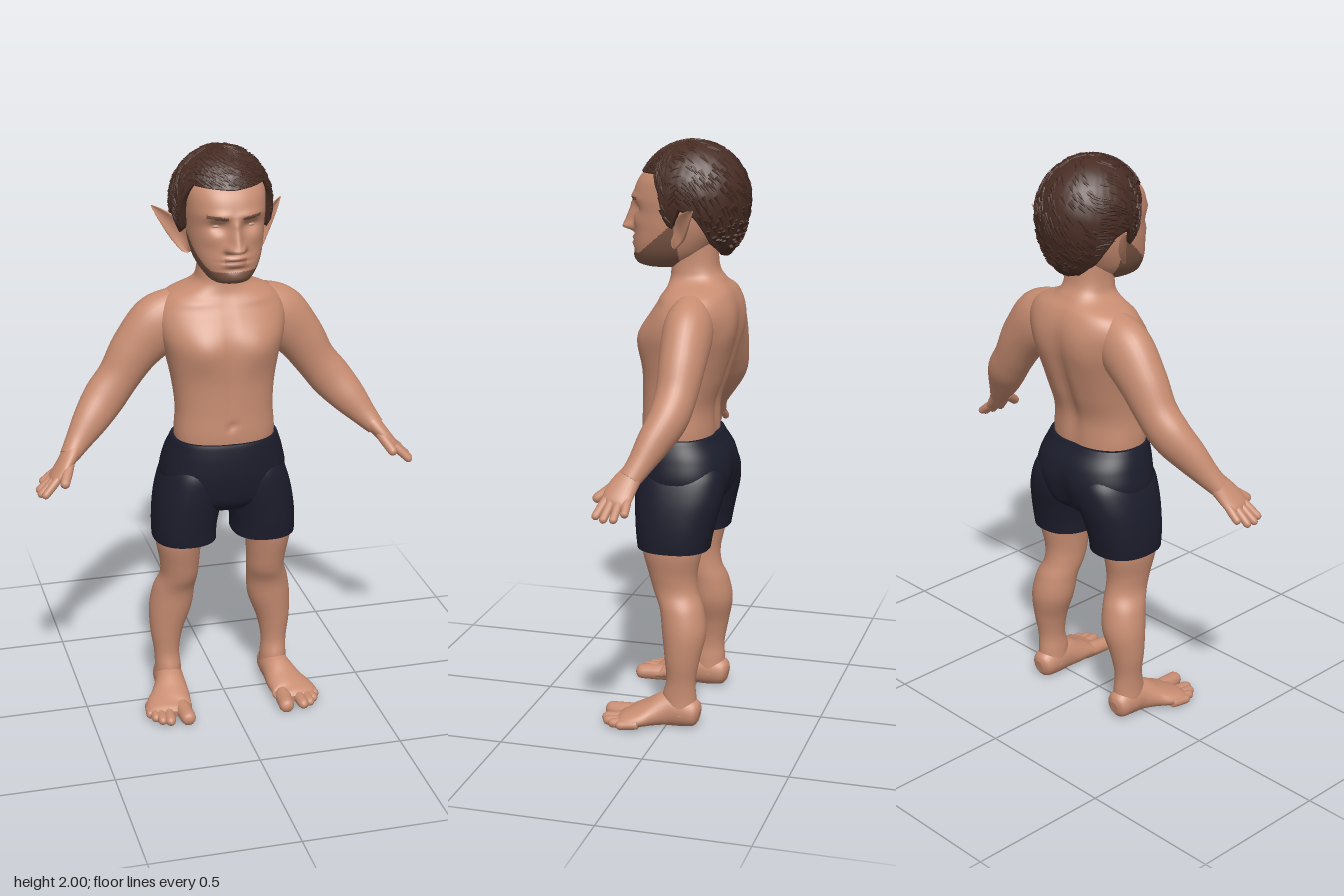
import * as THREE from 'three';
import { mergeGeometries } from 'three/addons/utils/BufferGeometryUtils.js';

const flat = (name, color) => Object.assign(new THREE.MeshStandardMaterial({ color }), { name });
const V = (x, y, z) => new THREE.Vector3(x, y, z);
const bump = (d, w) => Math.exp(-(d * d) / (w * w));

// Smooth Catmull-Rom sample through rows of numbers, t in 0..1
function sample(rows, t) {
  const f = t * (rows.length - 1), i = Math.min(Math.floor(f), rows.length - 2), u = f - i;
  const r = (k) => rows[Math.max(0, Math.min(rows.length - 1, k))];
  return rows[i].map((b, k) => {
    const a = r(i - 1)[k], c = r(i + 1)[k], d = r(i + 2)[k];
    return b + 0.5 * u * (c - a + u * (2 * a - 5 * b + 4 * c - d + u * (3 * (b - c) + d - a)));
  });
}

// Closed skin over rings point(t, angle), with flat end caps; pick(x,y,z) chooses a material slot
function loft(steps, sides, point, pick) {
  const pos = [], slots = [[], [], []];
  for (let i = 0; i <= steps; i++)
    for (let j = 0; j < sides; j++) pos.push(...point(i / steps, (j / sides) * Math.PI * 2).toArray());
  const at = (i, j) => i * sides + (j % sides);
  const add = (a, b, c) => {
    const m = (k) => (pos[a * 3 + k] + pos[b * 3 + k] + pos[c * 3 + k]) / 3;
    slots[pick ? pick(m(0), m(1), m(2)) : 0].push(a, b, c);
  };
  for (let i = 0; i < steps; i++)
    for (let j = 0; j < sides; j++) {
      add(at(i, j), at(i, j + 1), at(i + 1, j + 1));
      add(at(i, j), at(i + 1, j + 1), at(i + 1, j));
    }
  for (const end of [0, steps]) {
    const base = pos.length / 3, mid = [0, 0, 0];
    for (let j = 0; j < sides; j++)
      for (let k = 0; k < 3; k++) {
        const v = pos[at(end, j) * 3 + k];
        pos.push(v);
        mid[k] += v / sides;
      }
    pos.push(...mid);
    for (let j = 0; j < sides; j++) {
      const a = base + j, b = base + ((j + 1) % sides);
      if (end) add(a, b, base + sides); else add(b, a, base + sides);
    }
  }
  const g = new THREE.BufferGeometry();
  g.setAttribute('position', new THREE.Float32BufferAttribute(pos, 3));
  g.setIndex(slots.flat());
  if (pick) {
    let start = 0;
    slots.forEach((s, k) => { g.addGroup(start, s.length, k); start += s.length; });
  }
  g.computeVertexNormals();
  return g;
}

// Upright form; rows are [y, centre x, half width, front z, back z]
function stack(rows, steps, sides, power = 2, shape = (p) => p, pick) {
  const se = (v) => Math.sign(v) * Math.abs(v) ** (2 / power);
  return loft(steps, sides, (t, a) => {
    const [y, x, w, f, b] = sample(rows, t);
    return shape(V(x + w * se(Math.sin(a)), y, (f + b) / 2 + ((f - b) / 2) * se(Math.cos(a))));
  }, pick);
}

// Limb along a path; rows are [x, y, z, half size across ref, half size along ref]
function limb(rows, steps, sides, ref, wave = Math.cos) {
  return loft(steps, sides, (t, a) => {
    const [x, y, z, ru, rw] = sample(rows, t);
    const p = sample(rows, Math.max(0, t - 0.01)), q = sample(rows, Math.min(1, t + 0.01));
    const d = V(q[0] - p[0], q[1] - p[1], q[2] - p[2]).normalize();
    const u = d.clone().cross(ref).normalize(), w = u.clone().cross(d);
    return V(x, y, z).addScaledVector(u, ru * Math.sin(a)).addScaledVector(w, rw * wave(a));
  });
}

// Rounded digit from a to b
function digit(a, b, r, ref) {
  const p = (t, s) => [...a.map((v, k) => v + (b[k] - v) * t), r * s, r * s];
  return limb([p(0, 0.95), p(0.3, 1), p(0.6, 0.95), p(0.85, 0.9), p(0.96, 0.6), p(1, 0.1)], 14, 12, ref);
}

function mirrored(geo) {
  const g = geo.clone().scale(-1, 1, 1), ix = g.index.array;
  for (let i = 0; i < ix.length; i += 3) [ix[i], ix[i + 1]] = [ix[i + 1], ix[i]];
  g.computeVertexNormals();
  return g;
}

export function createModel() {
  const skin = flat('skin', 0xc88d72), hair = flat('dark brown hair', 0x482d24), cloth = flat('navy cloth', 0x1c1d2c);
  const stubble = flat('stubble', 0x7d5846), lip = flat('lips', 0xb0735f), eye = flat('eyes', 0xbd9c8a);
  const model = new THREE.Group(), Z = V(0, 0, 1), Y = V(0, 1, 0);
  const add = (name, geo, mat) => {
    const m = new THREE.Mesh(geo, mat);
    m.name = name;
    model.add(m);
  };
  const pair = (name, geo, mat) => {
    add('left' + name, geo, mat);
    add('right' + name, mirrored(geo), mat);
  };

  // Torso and neck, with chest, belly and spine relief
  add('torso', stack([
    [0.94, 0, 0.165, 0.12, -0.12], [1.02, 0, 0.172, 0.13, -0.122], [1.11, 0, 0.167, 0.128, -0.125],
    [1.2, 0, 0.175, 0.128, -0.155], [1.29, 0, 0.193, 0.13, -0.182], [1.37, 0, 0.215, 0.12, -0.198],
    [1.44, 0, 0.218, 0.085, -0.198], [1.495, 0, 0.185, 0.05, -0.18], [1.535, 0, 0.1, 0.038, -0.15],
    [1.58, 0, 0.079, 0.035, -0.125], [1.67, 0, 0.078, 0.035, -0.12],
  ], 90, 80, 2.3, (p) => {
    const x = Math.abs(p.x);
    if (p.z > 0) {
      p.z += 0.018 * bump(x - 0.095, 0.07) * bump(p.y - 1.335, 0.065);
      p.z -= 0.006 * bump(x, 0.015) * bump(p.y - 1.25, 0.2) + 0.01 * bump(x, 0.012) * bump(p.y - 1.07, 0.014);
      p.z += 0.006 * bump(x - 0.11, 0.08) * bump(p.y - 1.485, 0.015);
    } else if (p.z < -0.06) {
      p.z += 0.016 * bump(x, 0.03) * bump(p.y - 1.22, 0.2);
      p.z -= 0.008 * bump(x - 0.1, 0.05) * bump(p.y - 1.38, 0.08);
    }
    return p;
  }), skin);

  // Arms, palms, fingers and thumbs
  pair('Arm', limb([
    [0.13, 1.44, -0.07, 0.08, 0.07], [0.205, 1.39, -0.075, 0.102, 0.082], [0.285, 1.305, -0.078, 0.087, 0.076],
    [0.345, 1.215, -0.075, 0.073, 0.068], [0.4, 1.145, -0.062, 0.073, 0.064], [0.455, 1.08, -0.03, 0.062, 0.054],
    [0.505, 1.02, 0.0, 0.044, 0.042], [0.54, 0.98, 0.025, 0.032, 0.038],
  ], 50, 32, Z), skin);
  const hand = [limb([
    [0.515, 1.01, 0.008, 0.032, 0.034], [0.545, 0.975, 0.03, 0.027, 0.044], [0.572, 0.943, 0.046, 0.023, 0.05],
    [0.597, 0.917, 0.052, 0.018, 0.047], [0.61, 0.905, 0.055, 0.008, 0.035],
  ], 20, 24, Z)];
  for (const [z0, x1, y1, z1] of [[0.015, 0.64, 0.885, 0.012], [0.04, 0.657, 0.868, 0.045], [0.064, 0.656, 0.866, 0.08], [0.085, 0.645, 0.872, 0.11]])
    hand.push(digit([0.59, 0.925, z0], [x1, y1, z1], 0.0145, Z));
  hand.push(digit([0.545, 0.965, 0.06], [0.578, 0.912, 0.132], 0.018, Y));
  pair('Hand', mergeGeometries(hand), skin);

  // Legs
  pair('Leg', stack([
    [0.05, 0.195, 0.05, 0.01, -0.105], [0.11, 0.195, 0.046, 0.015, -0.102], [0.17, 0.198, 0.045, 0.002, -0.1],
    [0.25, 0.196, 0.058, 0.008, -0.115], [0.34, 0.181, 0.075, 0.02, -0.132], [0.42, 0.17, 0.073, 0.032, -0.12],
    [0.48, 0.157, 0.066, 0.058, -0.098], [0.54, 0.157, 0.069, 0.075, -0.094], [0.62, 0.16, 0.08, 0.094, -0.11],
    [0.7, 0.15, 0.09, 0.1, -0.12],
  ], 60, 40), skin);

  // Feet with a separate big toe
  const foot = [limb([
    [0.195, 0.045, -0.115, 0.018, 0.025], [0.195, 0.048, -0.1, 0.042, 0.046], [0.195, 0.058, -0.05, 0.05, 0.06],
    [0.198, 0.058, 0.0, 0.053, 0.06], [0.21, 0.042, 0.06, 0.068, 0.044], [0.226, 0.03, 0.11, 0.08, 0.031],
    [0.228, 0.023, 0.145, 0.076, 0.023], [0.228, 0.02, 0.165, 0.062, 0.012],
  ], 36, 32, Y), digit([0.186, 0.026, 0.1], [0.177, 0.022, 0.228], 0.029, Y)];
  for (const [x, z, r] of [[0.243, 0.222, 0.021], [0.269, 0.21, 0.019], [0.288, 0.186, 0.018], [0.302, 0.155, 0.017]])
    foot.push(digit([x - 0.012, 0.024, 0.08], [x, 0.018, z], r, Y));
  const footGeo = mergeGeometries(foot), fp = footGeo.attributes.position;
  for (let i = 0; i < fp.count; i++) fp.setY(i, Math.max(0, fp.getY(i)));
  footGeo.computeVertexNormals();
  pair('Foot', footGeo, skin);

  // Shorts: seat and two wide legs
  add('shortsSeat', stack([
    [0.75, 0, 0.12, 0.09, -0.11], [0.79, 0, 0.2, 0.125, -0.16], [0.87, 0, 0.218, 0.143, -0.186],
    [0.94, 0, 0.206, 0.145, -0.175], [0.99, 0, 0.19, 0.141, -0.145], [1.008, 0, 0.183, 0.137, -0.135],
  ], 40, 64, 2.3, (p) => {
    if (p.z < -0.05) p.z += 0.018 * bump(p.x, 0.03) * bump(p.y - 0.84, 0.08);
    return p;
  }), cloth);
  pair('ShortsLeg', stack([
    [0.632, 0.14, 0.11, 0.115, -0.133], [0.68, 0.14, 0.111, 0.12, -0.142], [0.74, 0.132, 0.115, 0.125, -0.156],
    [0.81, 0.118, 0.117, 0.13, -0.172], [0.88, 0.105, 0.108, 0.128, -0.172], [0.93, 0.095, 0.09, 0.11, -0.15],
  ], 36, 48, 2.3), cloth);

  // Head with nose, brow, sockets, cheeks and mouth; stubble, brows and lips as colour groups
  add('head', stack([
    [1.574, 0, 0.05, 0.125, 0.0], [1.585, 0, 0.07, 0.152, -0.03], [1.62, 0, 0.096, 0.163, -0.08],
    [1.66, 0, 0.113, 0.163, -0.115], [1.71, 0, 0.124, 0.158, -0.15], [1.76, 0, 0.129, 0.157, -0.17],
    [1.81, 0, 0.133, 0.163, -0.185], [1.87, 0, 0.133, 0.142, -0.185], [1.92, 0, 0.115, 0.09, -0.16],
    [1.965, 0, 0.05, 0.02, -0.08],
  ], 90, 144, 2.4, (p) => {
    if (p.z < 0.04) return p;
    const x = Math.abs(p.x), y = p.y, n = THREE.MathUtils.clamp((1.8 - y) / 0.1, 0, 1);
    const fade = THREE.MathUtils.smoothstep(y, 1.682, 1.698);
    p.z += (0.012 + 0.04 * n) * bump(x, 0.014 + 0.011 * n) * fade * (1 - THREE.MathUtils.smoothstep(y, 1.775, 1.82));
    p.z += 0.016 * bump(x - 0.022, 0.011) * bump(y - 1.703, 0.012);
    p.z -= 0.017 * bump(x - 0.053, 0.03) * bump(y - 1.772, 0.02);
    p.z += 0.008 * bump(x - 0.05, 0.045) * bump(y - 1.808, 0.014);
    p.z += 0.006 * bump(x - 0.075, 0.03) * bump(y - 1.73, 0.025);
    p.z += 0.01 * bump(x, 0.035) * (bump(y - 1.666, 0.009) + bump(y - 1.647, 0.009));
    p.z -= 0.006 * bump(x, 0.04) * (bump(y - 1.657, 0.004) + bump(y - 1.63, 0.01));
    p.z += 0.008 * bump(x, 0.035) * bump(y - 1.6, 0.018);
    return p;
  }, (x, y, z) => {
    x = Math.abs(x);
    if (z > 0.1 && x < 0.036 && Math.abs(y - 1.657) < 0.012) return 2;
    if (z > 0.08 && x > 0.026 && x < 0.09 && Math.abs(y - 1.8 - 0.1 * (x - 0.03)) < 0.006) return 1;
    return z > -0.01 && y < 1.622 + Math.max(0, 0.13 - z) * 0.85 ? 1 : 0;
  }), [skin, stubble, lip]);
  pair('Eye', new THREE.SphereGeometry(1, 20, 14).scale(0.022, 0.009, 0.014).translate(0.053, 1.771, 0.122), eye);

  // Pointed ears, dished on the front
  pair('Ear', limb([
    [0.118, 1.65, 0.0, 0.006, 0.008], [0.127, 1.668, -0.005, 0.022, 0.014], [0.142, 1.705, -0.025, 0.036, 0.018],
    [0.166, 1.738, -0.045, 0.034, 0.016], [0.196, 1.768, -0.07, 0.02, 0.01], [0.222, 1.792, -0.095, 0.002, 0.002],
  ], 30, 28, V(0.62, -0.1, 0.75).normalize(), (a) => {
    const c = Math.cos(a);
    return c > 0 ? c - 1.25 * c * c : c;
  }), skin);

  // Hair cap: hairline height by angle from the front, then small swept locks
  const line = [[0, 1.885], [0.9, 1.895], [1.13, 1.83], [1.22, 1.73], [1.36, 1.72], [1.52, 1.785], [1.8, 1.76], [2.15, 1.67], [2.6, 1.625], [3.15, 1.615]];
  const hairline = (a) => {
    const b = a > Math.PI ? 2 * Math.PI - a : a, k = Math.max(1, line.findIndex((r) => r[0] >= b));
    const [p, q] = [line[k - 1], line[k]];
    return p[1] + ((q[1] - p[1]) * (b - p[0])) / (q[0] - p[0]);
  };
  const scalp = (t, a, k = 1) => {
    const low = 0.205 - 0.045 * Math.cos(a), h = hairline(a) - 1.81;
    const e0 = Math.asin(THREE.MathUtils.clamp(h / (h > 0 ? 0.185 : low), -0.95, 0.95));
    const e = e0 + (Math.PI / 2 - e0) * t, c = Math.cos(e) * k;
    return V(0.17 * c * Math.sin(a), 1.81 + Math.sin(e) * (e > 0 ? 0.185 : low) * k, -0.04 + c * 0.19 * Math.cos(a));
  };
  add('hairCap', loft(60, 120, (t, a) => {
    const ridge = 0.007 * Math.sin(24 * a + 16 * t) * Math.sin(11 * a - 31 * t) * (1 - t);
    return t === 0 ? scalp(0, a, 0.86) : scalp(Math.min(t - 1 / 60, 0.982), a, 1 + ridge);
  }), hair);
  let seed = 7;
  const rand = () => (seed = (seed * 16807) % 2147483647) / 2147483647;
  const locks = [], centre = V(0, 1.81, -0.04);
  for (let i = 0; i < 650; i++) {
    const t = 0.04 + 0.93 * (1 - Math.sqrt(rand())), a = rand() * Math.PI * 2;
    const p = scalp(t, a), dir = scalp(Math.max(0, t - 0.03), a + 0.06).sub(p).normalize();
    const out = p.clone().sub(centre).normalize();
    dir.addScaledVector(out, -dir.dot(out) + 0.12).normalize();
    const side = dir.clone().cross(out).normalize(), up = side.clone().cross(dir);
    const cone = new THREE.ConeGeometry(0.008, 0.032 + 0.012 * rand(), 5).scale(1, 1, 0.55);
    locks.push(cone.applyMatrix4(new THREE.Matrix4().makeBasis(side, dir, up.negate().cross(dir).lengthSq() ? side.clone().cross(dir) : up).setPosition(p)));
  }
  add('hairLocks', mergeGeometries(locks), hair);
  return model;
}
